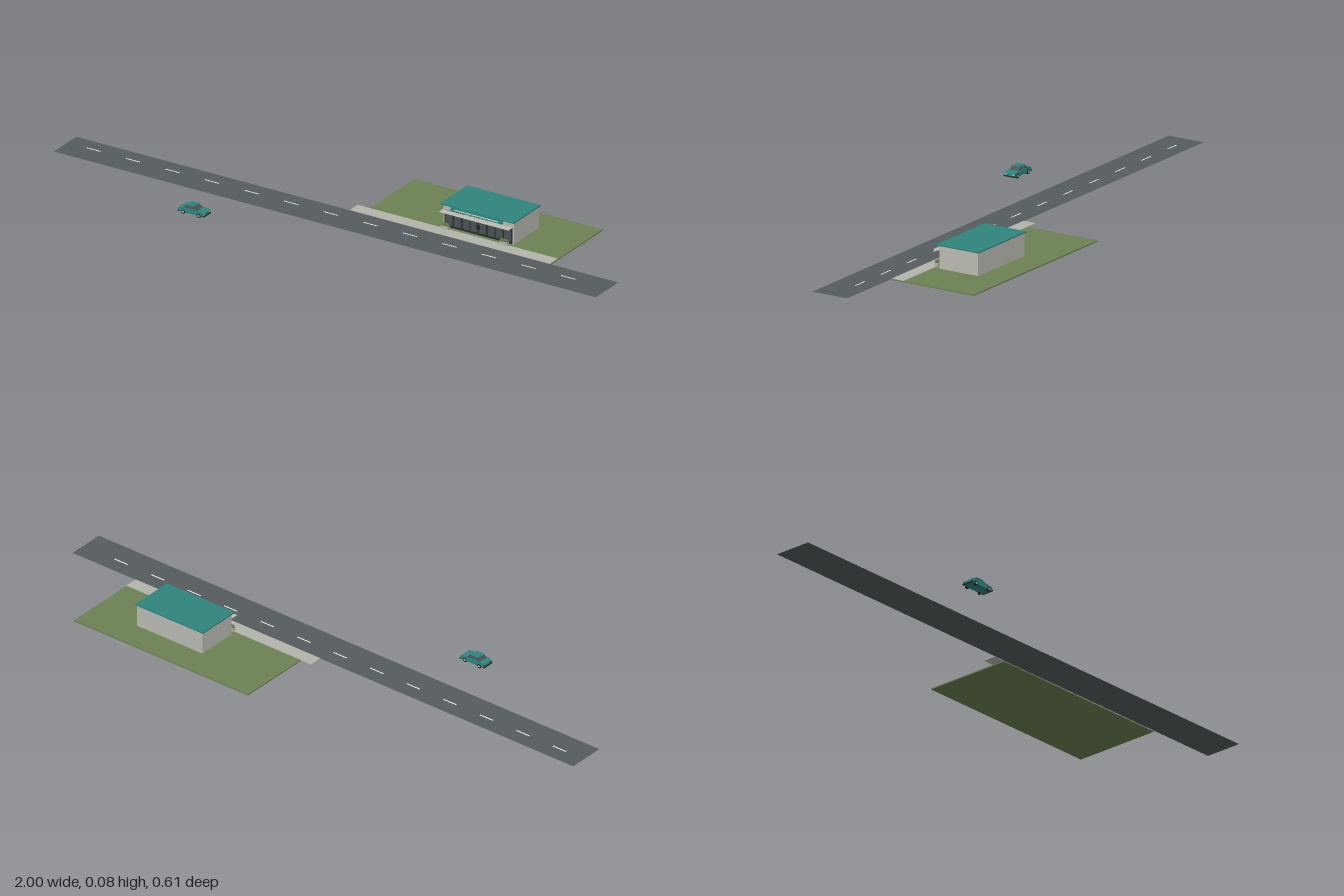
import * as THREE from 'three';

const mat = (name, color, side = THREE.FrontSide) => {
  const m = new THREE.MeshStandardMaterial({ color, side });
  m.name = name;
  return m;
};
const M = {
  teal: mat('teal paint', 0x2f857d),
  asphalt: mat('asphalt', 0x555c5d, THREE.DoubleSide),
  grass: mat('grass', 0x6d8053),
  concrete: mat('concrete', 0xb3b4ab),
  wall: mat('wall', 0xbcbcb4),
  glass: mat('dark glass', 0x4a5254),
  dark: mat('dark trim', 0x262b2c),
  white: mat('white', 0xe4e6e2),
  leaf: mat('shrub leaves', 0x657a45),
};

function add(parent, name, geometry, material, x = 0, y = 0, z = 0) {
  const mesh = new THREE.Mesh(geometry, material);
  mesh.name = name;
  mesh.position.set(x, y, z);
  parent.add(mesh);
  return mesh;
}

// Box given by its lower and upper bounds on each axis
function span(parent, name, material, x0, x1, y0, y1, z0, z1) {
  return add(parent, name, new THREE.BoxGeometry(x1 - x0, y1 - y0, z1 - z0), material,
    (x0 + x1) / 2, (y0 + y1) / 2, (z0 + z1) / 2);
}

function group(parent, name) {
  const g = new THREE.Group();
  g.name = name;
  parent.add(g);
  return g;
}

function flat(parent, name, material, w, d, x, y, z) {
  return add(parent, name, new THREE.PlaneGeometry(w, d).rotateX(-Math.PI / 2), material, x, y, z);
}

function buildGround(root) {
  const g = group(root, 'ground');
  flat(g, 'road', M.asphalt, 2, 0.13, 0, 0.0045, 0.065);
  for (let i = 0; i < 13; i++) {
    flat(g, 'laneDash', M.white, 0.053, 0.005, -0.903 + i * 0.146, 0.0052, 0.053);
  }
  span(g, 'lawn', M.grass, 0.053, 0.748, 0, 0.004, -0.305, 0);
  span(g, 'sidewalk', M.concrete, 0.01, 0.748, 0.0025, 0.006, -0.045, 0);
}

function buildShop(root) {
  const g = group(root, 'shop');
  const x0 = 0.315, x1 = 0.575, front = -0.062;
  span(g, 'walls', M.wall, x0, x1, 0.003, 0.079, -0.207, front);
  span(g, 'roof', M.teal, 0.31, 0.58, 0.079, 0.083, -0.21, -0.053);
  span(g, 'awning', M.wall, x0, 0.572, 0.061, 0.0635, -0.036, front);
  span(g, 'signBoard', M.teal, 0.345, 0.535, 0.065, 0.076, front, -0.056);
  span(g, 'signStripe', M.white, 0.36, 0.52, 0.069, 0.072, -0.056, -0.0555);

  // Glazed shop front with evenly spaced posts
  span(g, 'shopWindow', M.glass, x0 + 0.006, x1 - 0.006, 0.01, 0.059, front, front + 0.001);
  span(g, 'windowSill', M.dark, x0 + 0.004, x1 - 0.004, 0.005, 0.011, front, front + 0.002);
  span(g, 'windowHead', M.dark, x0 + 0.004, x1 - 0.004, 0.057, 0.061, front, front + 0.002);
  for (let i = 0; i <= 8; i++) {
    const x = x0 + 0.007 + i * (x1 - x0 - 0.014) / 8;
    span(g, 'windowPost', M.dark, x - 0.002, x + 0.002, 0.005, 0.061, front, front + 0.002);
  }
  for (const s of [-1, 1]) {
    const x = 0.445 + s * 0.005;
    span(g, 'doorHandle', M.dark, x - 0.001, x + 0.001, 0.024, 0.038, front, front + 0.004);
  }

  // Planters either side of the entrance
  for (const x of [0.334, 0.552]) {
    const p = group(g, 'planter');
    span(p, 'planterBox', M.concrete, x - 0.014, x + 0.014, 0.004, 0.017, -0.048, -0.037);
    for (const dx of [-0.009, 0, 0.009]) {
      const shrub = add(p, 'shrub', new THREE.SphereGeometry(0.0055, 10, 8), M.leaf, x + dx, 0.019, -0.0425);
      shrub.scale.y = 1.4;
    }
  }
}

// Side profile extruded across the car, centred on z
function slab(points, width) {
  const shape = new THREE.Shape(points.map(([x, y]) => new THREE.Vector2(x, y)));
  return new THREE.ExtrudeGeometry(shape, { depth: width, bevelEnabled: false }).translate(0, 0, -width / 2);
}

function buildCar(root) {
  const g = group(root, 'car');
  g.position.set(-0.383, 0.0065, 0.284);

  add(g, 'body', slab([[-0.046, 0.006], [0.046, 0.006], [0.047, 0.015], [0.043, 0.019],
    [0.02, 0.0215], [-0.028, 0.0215], [-0.044, 0.02], [-0.047, 0.015]], 0.04), M.teal);

  // Glass cabin narrows towards the roof
  const cabin = slab([[-0.03, 0.021], [0.022, 0.021], [0.008, 0.031], [-0.02, 0.031]], 0.036);
  const p = cabin.attributes.position;
  for (let i = 0; i < p.count; i++) if (p.getY(i) > 0.025) p.setZ(i, p.getZ(i) * 0.8);
  cabin.computeVertexNormals();
  add(g, 'cabinGlass', cabin, M.glass);
  span(g, 'carRoof', M.teal, -0.021, 0.009, 0.0305, 0.0325, -0.015, 0.015);

  for (const s of [-1, 1]) {
    span(g, 'bumper', M.dark, s * 0.046 - 0.0025, s * 0.046 + 0.0025, 0.006, 0.0095, -0.021, 0.021);
    span(g, 'doorPillar', M.teal, -0.007, -0.0045, 0.021, 0.031, s * 0.0165 - 0.0015, s * 0.0165 + 0.0015);
    for (const e of [-1, 1]) {
      const lamp = e > 0 ? M.white : M.dark;
      span(g, 'lamp', lamp, e * 0.0468 - 0.0006, e * 0.0468 + 0.0006, 0.012, 0.015, s * 0.0145 - 0.003, s * 0.0145 + 0.003);
      const wheel = add(g, 'wheel', new THREE.CylinderGeometry(0.0075, 0.0075, 0.007, 16).rotateX(Math.PI / 2),
        M.dark, e * 0.029, 0.0075, s * 0.0178);
      add(wheel, 'hubcap', new THREE.CylinderGeometry(0.004, 0.004, 0.0005, 12).rotateX(Math.PI / 2),
        M.concrete, 0, 0, s * 0.0036);
    }
  }
}

export function createModel() {
  const root = new THREE.Group();
  root.name = 'roadsideShop';
  buildGround(root);
  buildShop(root);
  buildCar(root);
  return root;
}
